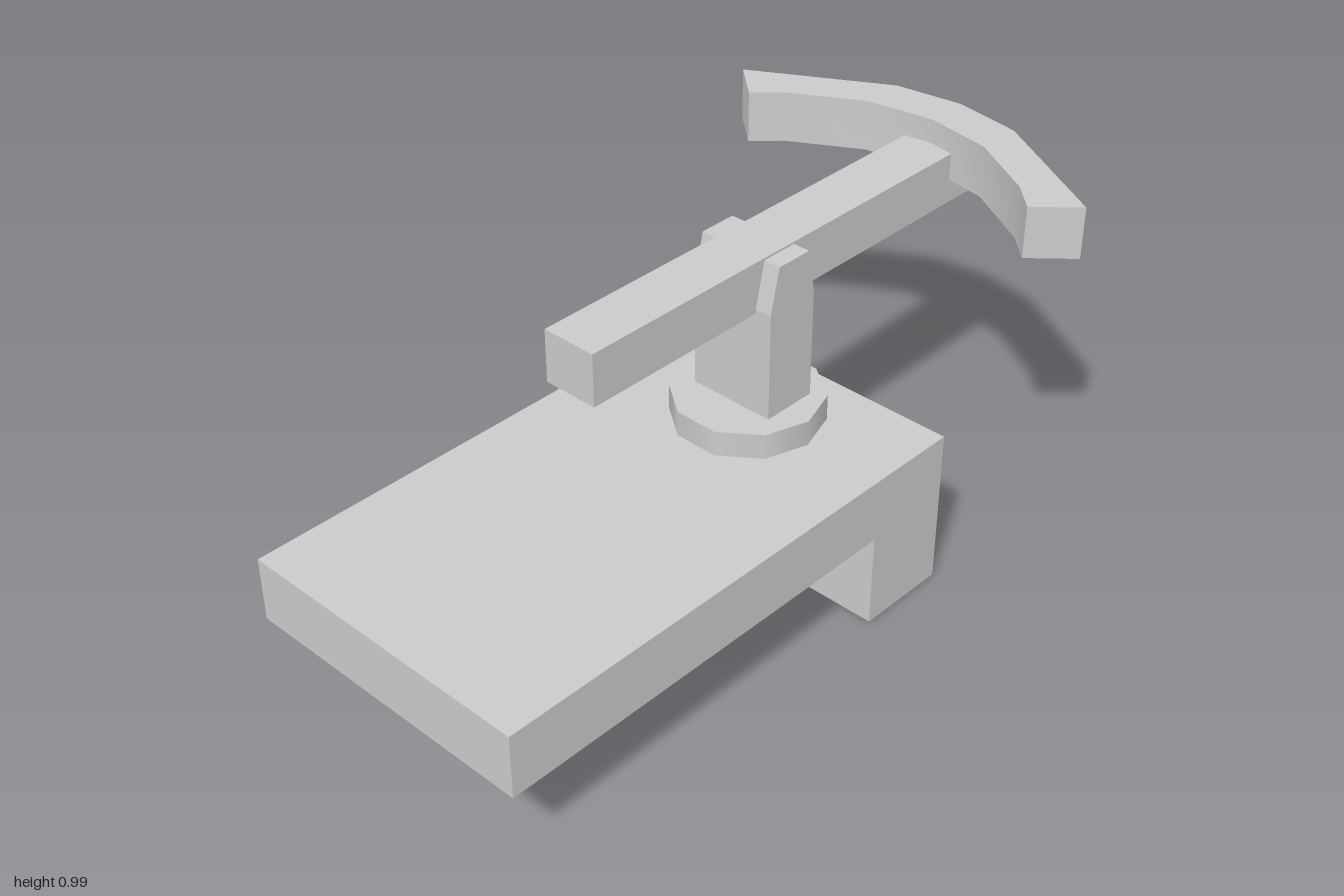
import * as THREE from 'three';
import { toCreasedNormals } from 'three/addons/utils/BufferGeometryUtils.js';

const material = new THREE.MeshStandardMaterial({ color: 0xcccccc });

function extrude(points, depth) {
  const shape = new THREE.Shape(points.map(([a, b]) => new THREE.Vector2(a, b)));
  return new THREE.ExtrudeGeometry(shape, { depth, bevelEnabled: false });
}

// Side profile given as [z, y], extruded symmetrically across x
function sideProfile(points, width) {
  return extrude(points, width).translate(0, 0, -width / 2).rotateY(-Math.PI / 2);
}

// Plan outline given as [x, z], extruded upwards from y
function planOutline(points, y, height) {
  return extrude(points.map(([x, z]) => [x, -z]), height).rotateX(-Math.PI / 2).translate(0, y, 0);
}

export function createModel() {
  const group = new THREE.Group();
  const add = (name, geometry) => {
    const mesh = new THREE.Mesh(geometry, material);
    mesh.name = name;
    group.add(mesh);
    return mesh;
  };

  // L-shaped base: long deck with a deep block at the back
  add('base', sideProfile([
    [1, 0.26], [1, 0.435], [-0.447, 0.435], [-0.447, 0], [-0.19, 0], [-0.19, 0.26],
  ], 0.84));

  // Ten-sided turntable
  add('turntable', new THREE.CylinderGeometry(0.198, 0.198, 0.07, 10, 1, false, Math.PI / 2))
    .position.set(0, 0.47, -0.192);

  // Post with tapered cheeks gripping the beam
  add('post', sideProfile([
    [-0.13, 0.505], [-0.13, 0.8], [-0.157, 0.922], [-0.262, 0.922], [-0.285, 0.8], [-0.285, 0.505],
  ], 0.244));

  // Long horizontal beam
  add('beam', new THREE.BoxGeometry(0.15, 0.14, 1.375)).position.set(0, 0.858, -0.283);

  // Curved bow across the back end, mirrored from one half
  const outer = [[0.187, -0.972], [0.546, -0.767]];
  const inner = [[0.442, -0.675], [0.372, -0.742], [0.185, -0.85]];
  const mirror = (points) => points.map(([x, z]) => [-x, z]).reverse();
  const outline = [[0, -1], ...outer, ...inner, [0, -0.88], ...mirror(inner), ...mirror(outer)];
  add('bow', toCreasedNormals(planOutline(outline, 0.854, 0.14), 0.6));

  return group;
}
